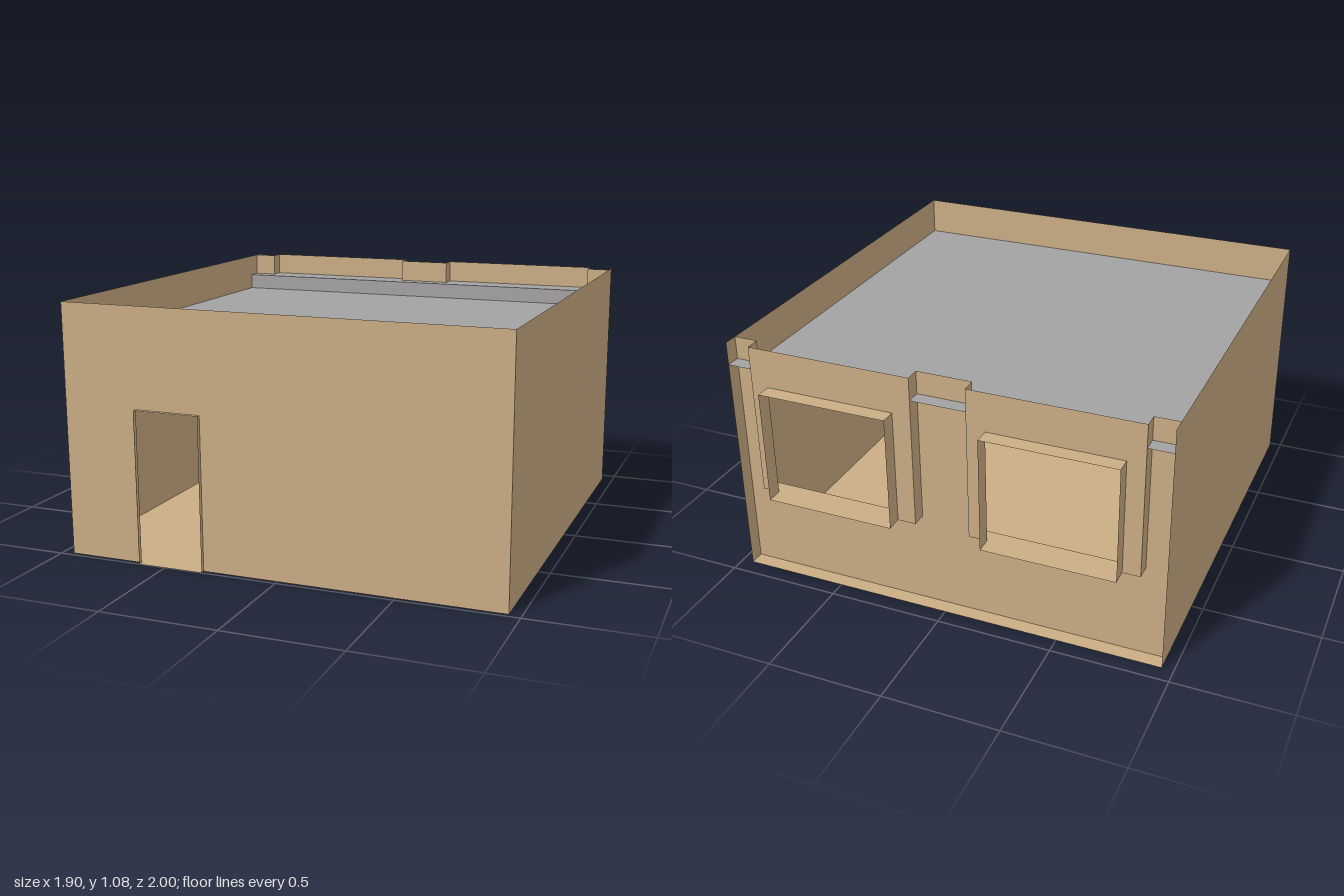
import * as THREE from 'three';

const W = 0.95, H = 1.08, FRONT = 0.98, BACK = -0.93; // outer shell
const INNER = -0.865;                                  // recessed rear wall
const BAY = { x0: 0.12, x1: 0.845, y0: 0.41 };         // rear bays, mirrored
const WIN = { x0: 0.2, x1: 0.77, y0: 0.41, y1: 0.91, z: -1 };
const DOOR = { x0: -0.62, x1: -0.33, y1: 0.655, z: 1 };
const ROOF = { low: 0.91, high: 0.98, step: -0.8 };

export function createModel() {
  const plaster = new THREE.MeshStandardMaterial({ color: 0xcaad84, side: THREE.DoubleSide });
  plaster.name = 'tan plaster';
  const roofing = new THREE.MeshStandardMaterial({ color: 0xa4a2a2, side: THREE.DoubleSide });
  roofing.name = 'grey roofing';

  const model = new THREE.Group();
  model.name = 'flatRoofRoom';

  const add = (parent, name, geometry, material = plaster) => {
    const mesh = new THREE.Mesh(geometry, material);
    mesh.name = name;
    parent.add(mesh);
    return mesh;
  };

  // Sheet facing up or down, at height y
  const level = (parent, name, x0, x1, y, z0, z1, material) =>
    add(parent, name, new THREE.PlaneGeometry(x1 - x0, z1 - z0).rotateX(-Math.PI / 2)
      .translate((x0 + x1) / 2, y, (z0 + z1) / 2), material);

  // Sheet facing sideways, at x
  const side = (parent, name, x, y0, y1, z0, z1) =>
    add(parent, name, new THREE.PlaneGeometry(z1 - z0, y1 - y0).rotateY(Math.sign(x) * Math.PI / 2)
      .translate(x, (y0 + y1) / 2, (z0 + z1) / 2));

  // Sheet facing front or back, from an outline
  const upright = (parent, name, points, z, facing, holes = []) => {
    const toShape = (p) => new THREE.Shape(p.map(([x, y]) => new THREE.Vector2(x * facing, y)));
    const shape = toShape(points);
    shape.holes = holes.map(toShape);
    const geometry = new THREE.ShapeGeometry(shape);
    if (facing < 0) geometry.rotateY(Math.PI);
    return add(parent, name, geometry.translate(0, 0, z));
  };

  const rect = (x0, x1, y0, y1) => [[x0, y0], [x1, y0], [x1, y1], [x0, y1]];

  // Floor and side walls
  level(model, 'floor', -W, W, 0, BACK, FRONT);
  for (const s of [-1, 1]) side(model, s > 0 ? 'leftWall' : 'rightWall', s * W, 0, H, BACK, FRONT);

  // Front wall around the doorway
  upright(model, 'frontWall', [
    [-W, 0], [DOOR.x0, 0], [DOOR.x0, DOOR.y1], [DOOR.x1, DOOR.y1], [DOOR.x1, 0],
    [W, 0], [W, H], [-W, H],
  ], FRONT, 1);

  // Shallow door surround
  const door = new THREE.Group();
  door.name = 'doorSurround';
  model.add(door);
  for (const x of [DOOR.x0, DOOR.x1]) side(door, 'doorJamb', x, 0, DOOR.y1, FRONT, DOOR.z);
  level(door, 'doorHead', DOOR.x0, DOOR.x1, DOOR.y1, FRONT, DOOR.z);
  level(door, 'threshold', DOOR.x0, DOOR.x1, 0, FRONT, DOOR.z);

  // Recessed rear wall, cut away behind the two bays
  const { x0, x1, y0 } = BAY;
  upright(model, 'rearWall', [
    [-W, 0], [W, 0], [W, H], [x1, H], [x1, y0], [x0, y0], [x0, H],
    [-x0, H], [-x0, y0], [-x1, y0], [-x1, H], [-W, H],
  ], INNER, -1);

  // Projecting window bays with box surrounds
  for (const s of [-1, 1]) {
    const bay = new THREE.Group();
    bay.name = s > 0 ? 'leftWindowBay' : 'rightWindowBay';
    model.add(bay);
    const span = (a, b) => (s > 0 ? [a, b] : [-b, -a]);
    const [b0, b1] = span(x0, x1);
    const [w0, w1] = span(WIN.x0, WIN.x1);

    // The opening reaches the foot of the panel
    upright(bay, 'bayPanel', [
      [b0, y0], [w0, y0], [w0, WIN.y1], [w1, WIN.y1], [w1, y0], [b1, y0], [b1, H], [b0, H],
    ], BACK, -1);
    for (const x of [b0, b1]) side(bay, 'bayCheek', x, y0, H, BACK, INNER);
    level(bay, 'bayLedge', b0, b1, y0, BACK, INNER);

    for (const x of [w0, w1]) side(bay, 'windowJamb', x, WIN.y0, WIN.y1, WIN.z, BACK);
    for (const y of [WIN.y0, WIN.y1])
      level(bay, y === WIN.y0 ? 'windowSill' : 'windowHead', w0, w1, y, WIN.z, BACK);
  }

  // Roof, stepping up along the rear
  level(model, 'mainRoof', -W, W, ROOF.low, ROOF.step, FRONT, roofing);
  level(model, 'rearRoof', -W, W, ROOF.high, BACK, ROOF.step, roofing);
  upright(model, 'roofStep', rect(-W, W, ROOF.low, ROOF.high), ROOF.step, 1).material = roofing;

  return model;
}
